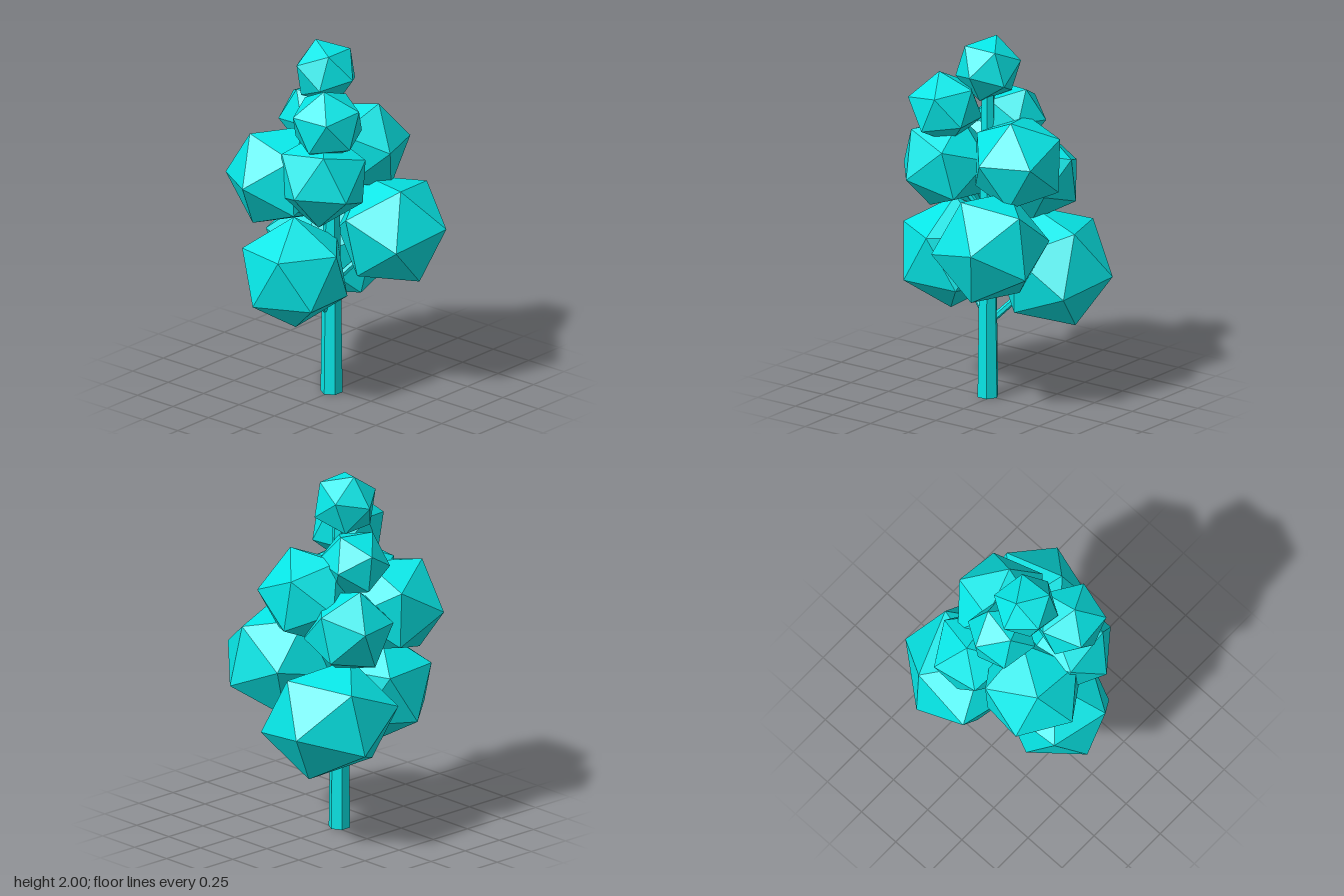
import * as THREE from 'three';

const material = new THREE.MeshStandardMaterial({ color: 0x06e6e6, flatShading: true });
const TRUNK = new THREE.Vector3(-0.028, 0, -0.004);

// Foliage clumps: centre, radius, direction to one corner, direction to a neighbouring corner,
// optional stretch along the first corner's direction
const CLUMPS = [
  { c: [-0.045, 1.835, -0.03], r: 0.183, a: [0.01, -0.01, 0.185], b: [-0.085, 0.13, 0.1] },
  { c: [-0.215, 1.625, 0.128], r: 0.209, a: [-0.03, 0.17, 0.005], b: [0.03, 0.07, -0.18], stretch: 0.95 },
  { c: [0.012, 1.543, -0.16], r: 0.194, a: [0.1, 0.17, 0], b: [0.01, 0.05, -0.175] },
  { c: [0.185, 1.36, 0.015], r: 0.274, a: [0.03, 0.24, 0.1], b: [-0.065, 0.02, 0.265] },
  { c: [-0.228, 1.31, 0.103], r: 0.264, a: [-0.085, -0.06, 0.24], b: [0.135, 0.135, 0.24] },
  { c: [0.13, 1.21, -0.245], r: 0.245, a: [-0.166, 0.05, -0.175], b: [0.07, 0.05, -0.23] },
  { c: [-0.24, 1.26, -0.19], r: 0.297, a: [-0.135, 0.26, -0.1], b: [-0.15, 0.03, -0.28] },
  { c: [-0.287, 0.753, -0.04], r: 0.312, a: [-0.27, -0.135, -0.06], b: [-0.245, 0.165, 0.11] },
  { c: [0.175, 0.94, 0.248], r: 0.32, a: [0.085, 0.04, 0.275], b: [-0.115, 0.295, 0.11] },
  { c: [0.248, 0.73, -0.222], r: 0.33, a: [0.264, -0.08, 0.267], b: [0.3, -0.02, -0.09], stretch: 1.14 },
];

// Icosahedron turned so one corner points along a and a neighbouring corner leans towards b
function makeClump({ c, r, a, b, stretch = 1 }) {
  const geometry = new THREE.IcosahedronGeometry(r, 0);
  geometry.rotateZ(Math.atan2(1, (1 + Math.sqrt(5)) / 2));
  geometry.scale(1, stretch, 1);
  const up = new THREE.Vector3(...a).normalize();
  const side = new THREE.Vector3(...b).projectOnPlane(up).normalize().negate();
  const depth = new THREE.Vector3().crossVectors(side, up);
  geometry.applyMatrix4(new THREE.Matrix4().makeBasis(side, up, depth));
  const mesh = new THREE.Mesh(geometry, material);
  mesh.position.set(...c);
  return mesh;
}

// Thin six-sided rod between two points
function makeBranch(from, to, radius) {
  const dir = to.clone().sub(from);
  const mesh = new THREE.Mesh(new THREE.CylinderGeometry(radius * 0.8, radius, dir.length(), 6), material);
  mesh.position.copy(from).addScaledVector(dir, 0.5);
  mesh.quaternion.setFromUnitVectors(new THREE.Vector3(0, 1, 0), dir.normalize());
  return mesh;
}

export function createModel() {
  const tree = new THREE.Group();
  tree.name = 'tree';

  // Tapered hexagonal trunk
  const trunk = new THREE.Mesh(new THREE.CylinderGeometry(0.036, 0.06, 1.8, 6), material);
  trunk.name = 'trunk';
  trunk.rotation.y = Math.PI / 2;
  trunk.position.set(TRUNK.x, 0.9, TRUNK.z);
  tree.add(trunk);

  // Foliage, each side clump carried by a rising branch
  CLUMPS.forEach((clump, i) => {
    const foliage = makeClump(clump);
    foliage.name = `foliage${i + 1}`;
    tree.add(foliage);
    if (i === 0) return;
    const end = foliage.position;
    const start = new THREE.Vector3(TRUNK.x, end.y - 0.32, TRUNK.z);
    const branch = makeBranch(start, end, 0.02);
    branch.name = `branch${i}`;
    tree.add(branch);
  });

  return tree;
}
